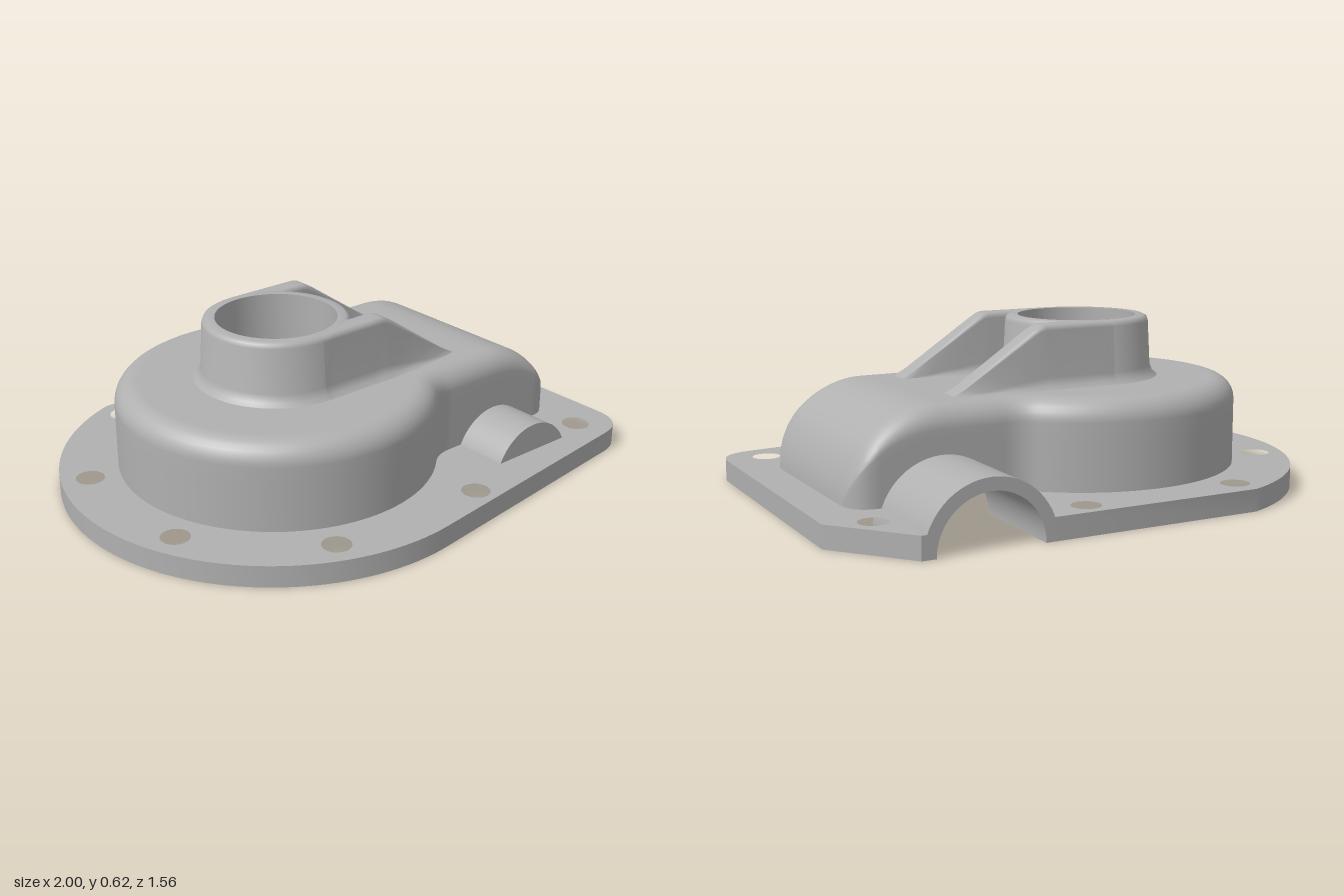
import * as THREE from 'three';
import { toCreasedNormals } from 'three/addons/utils/BufferGeometryUtils.js';

const CX = -0.195, CZ = -0.03;      // bore axis
const SHAFT_X = 0.54;               // cross shaft axis
const FLANGE_H = 0.08, BORE = 0.22;
const SIDE_X = 0.865, HALF_W = 0.395, ROUND = 0.59;
const BACK = -0.785;

// Housing plan: round drum blended into a square-ended box, with inward normals
function planOutline() {
  const half = [];
  const add = (x, w, nx, nw) => half.push([x, w, nx, nw]);
  const arc = (cx, cw, r, a0, a1, n, sign) => {
    for (let i = 0; i <= n; i++) {
      const a = a0 + (a1 - a0) * i / n, c = Math.cos(a), s = Math.sin(a);
      add(cx + r * c, cw + r * s, sign * c, sign * s);
    }
  };
  const rc = 0.09, rf = 0.15;
  const reach = Math.sqrt((ROUND + rf) ** 2 - (HALF_W + rf) ** 2);
  const join = Math.atan2(HALF_W + rf, reach), xf = CX + reach;
  for (let i = 0; i < 10; i++) add(SIDE_X, (HALF_W - rc) * i / 10, -1, 0);
  arc(SIDE_X - rc, HALF_W - rc, rc, 0, Math.PI / 2, 6, -1);
  for (let i = 1; i < 36; i++) add(SIDE_X - rc + (xf - SIDE_X + rc) * i / 36, HALF_W, 0, -1);
  arc(xf, HALF_W + rf, rf, -Math.PI / 2, join - Math.PI, 8, 1);
  arc(CX, 0, ROUND, join + 0.04, Math.PI, 44, -1);
  const mirrored = half.slice(1, -1).reverse().map(([x, w, nx, nw]) => [x, -w, nx, -nw]);
  return half.concat(mirrored);
}
const PLAN = planOutline();
const inset = ([x, w, nx, nw], d) => [x + nx * d, CZ + w + nw * d];

// Builds a smooth surface from rows of points
function loft(rows, closed, flip) {
  const n = rows[0].length, index = [];
  for (let r = 0; r < rows.length - 1; r++) {
    for (let i = 0; i < (closed ? n : n - 1); i++) {
      const j = (i + 1) % n;
      const a = r * n + i, b = r * n + j, c = b + n, d = a + n;
      if (flip) index.push(a, b, c, a, c, d);
      else index.push(a, d, c, a, c, b);
    }
  }
  const g = new THREE.BufferGeometry();
  g.setAttribute('position', new THREE.Float32BufferAttribute(rows.flat(2), 3));
  g.setIndex(index);
  g.computeVertexNormals();
  return g;
}

// Housing skin: wall, rounded shoulder, then roof running in to the bore
function housingSkin(offset, top, fillet, flip) {
  const radius = SIDE_X - offset - SHAFT_X;
  const drop = (x, y) => {
    const t = Math.min(1, Math.max(0, (x - SHAFT_X) / radius));
    return FLANGE_H + (y - FLANGE_H) * Math.sqrt(1 - t * t);
  };
  const rows = [];
  // wall, arched over the two shaft openings
  for (let k = 0; k <= 4; k++) {
    rows.push(PLAN.map(p => {
      const [x, z] = inset(p, offset);
      const r = z < 0 ? 0.21 : 0.16, dx = x - SHAFT_X;
      const low = Math.max(FLANGE_H, Math.sqrt(Math.max(0, r * r - dx * dx)));
      const high = drop(x, top - fillet);
      const bottom = Math.abs(z - CZ) > 0.3 ? Math.min(low, high) : FLANGE_H;
      return [x, bottom + (high - bottom) * k / 4, z];
    }));
  }
  for (let k = 1; k <= 7; k++) {
    const a = k / 7 * Math.PI / 2;
    rows.push(PLAN.map(p => {
      const [x, z] = inset(p, offset + fillet * (1 - Math.cos(a)));
      return [x, drop(x, top - fillet + fillet * Math.sin(a)), z];
    }));
  }
  for (let k = 1; k <= 18; k++) {
    rows.push(PLAN.map(p => {
      const [x, z] = inset(p, offset + fillet);
      const s = BORE / Math.hypot(x - CX, z - CZ), t = k / 18;
      const px = x + (CX + (x - CX) * s - x) * t;
      return [px, drop(px, top), z + (CZ + (z - CZ) * s - z) * t];
    }));
  }
  return loft(rows, true, flip);
}

// Mounting flange, open to the cavity and to both shaft channels
function flangeGeometry() {
  const pts = [[0.75, BACK], [0.78, BACK], [1, -0.52]];
  const corner = new THREE.QuadraticBezierCurve(
    new THREE.Vector2(1, 0.5), new THREE.Vector2(1, 0.633), new THREE.Vector2(0.87, 0.649));
  corner.getPoints(10).forEach(p => pts.push([p.x, p.y]));
  for (let i = 0; i <= 64; i++) {
    const a = THREE.MathUtils.degToRad(83 + (249.7 - 83) * i / 64);
    pts.push([CX + 0.805 * Math.cos(a), CZ + 0.805 * Math.sin(a)]);
  }
  pts.push([0.33, BACK]);
  const inner = PLAN.map(p => inset(p, 0.045));
  const inBack = ([x, z]) => z < -0.3 && Math.abs(x - SHAFT_X) < 0.21;
  const first = inner.findIndex(inBack);
  let last = first;
  while (inBack(inner[last + 1])) last++;
  const cavity = inner.slice(last + 1).concat(inner.slice(0, first)).map(([x, z]) =>
    z > 0.3 && Math.abs(x - SHAFT_X) < 0.16 ? [x, 0.55] : [x, z]);
  pts.push(...cavity.reverse());
  const shape = new THREE.Shape(pts.map(([x, z]) => new THREE.Vector2(x, -z)));
  // bolt holes
  [[-0.46, -0.68], [0.155, -0.7], [0.845, -0.565], [-0.84, -0.3],
    [-0.84, 0.24], [-0.46, 0.62], [0.155, 0.655], [0.845, 0.52]].forEach(([x, z]) => {
    shape.holes.push(new THREE.Path().absarc(x, -z, 0.052, 0, Math.PI * 2, true));
  });
  const g = new THREE.ExtrudeGeometry(shape, { depth: FLANGE_H, bevelEnabled: false, curveSegments: 20 });
  return toCreasedNormals(g.rotateX(-Math.PI / 2), 0.6);
}

// Half pipe (or half disc when the inner radius is 0) along z
function halfPipe(outer, inner, z0, z1) {
  const s = new THREE.Shape().absarc(0, 0, outer, 0, Math.PI, false);
  if (inner > 0) {
    s.lineTo(-inner, 0);
    s.absarc(0, 0, inner, Math.PI, 0, true);
  }
  s.closePath();
  const g = new THREE.ExtrudeGeometry(s, { depth: z1 - z0, bevelEnabled: false, curveSegments: 28 });
  return toCreasedNormals(g.translate(SHAFT_X, 0, z0), 0.6);
}

// Sloping rib tangent to the boss; the section shrinks as the top descends
function ribGeometry(side) {
  const section = [[0.31, 0.395], [0.287, 0.412], [0.276, 0.44], [0.267, 0.605], [0.262, 0.619], [0.25, 0.625],
    [0.195, 0.625], [0.184, 0.619], [0.18, 0.605], [0.174, 0.44], [0.165, 0.412], [0.145, 0.395]];
  const stations = [[0, 0.625], [0.05, 0.625], [0.1, 0.625], [0.14, 0.625], [0.18, 0.625], [0.22, 0.625],
    [0.275, 0.625], [0.295, 0.62], [0.32, 0.606], [0.42, 0.538], [0.52, 0.47], [0.59, 0.423], [0.635, 0.398]];
  const rows = stations.map(([dx, h]) => section.map(([w, y]) => {
    const clear = Math.sqrt(Math.max(0, 0.23 ** 2 - dx * dx));
    return [CX + dx, 0.395 + (y - 0.395) * (h - 0.395) / 0.23, CZ + side * Math.max(w, clear)];
  }));
  return loft(rows, false, side < 0);
}

export function createModel() {
  const group = new THREE.Group();
  const castMetal = new THREE.MeshStandardMaterial({ color: 0xb0b0b0 });
  castMetal.name = 'cast metal grey';
  const add = (name, geometry) => {
    const m = new THREE.Mesh(geometry, castMetal);
    m.name = name;
    group.add(m);
    return m;
  };

  add('flange', flangeGeometry());
  add('housingOuter', housingSkin(0, 0.4, 0.08, false));
  add('housingInner', housingSkin(0.045, 0.355, 0.04, true));

  // shaft tunnels: open at the back, blind at the front
  add('backShaftTunnel', halfPipe(0.235, 0.19, BACK, -0.38));
  add('frontShaftTunnel', halfPipe(0.187, 0.142, 0.32, 0.527));
  add('frontTunnelCap', halfPipe(0.187, 0, 0.525, 0.57));

  // bored boss with a flared foot
  const profile = [[0.31, 0.395], [0.287, 0.412], [0.276, 0.44], [0.267, 0.605], [0.262, 0.619],
    [0.25, 0.625], [BORE, 0.625], [BORE, 0.355]].map(([x, y]) => new THREE.Vector2(x, y));
  const boss = toCreasedNormals(new THREE.LatheGeometry(profile, 72), 0.8);
  add('boss', boss.translate(CX, 0, CZ));

  add('leftRib', ribGeometry(1));
  add('rightRib', ribGeometry(-1));
  return group;
}
